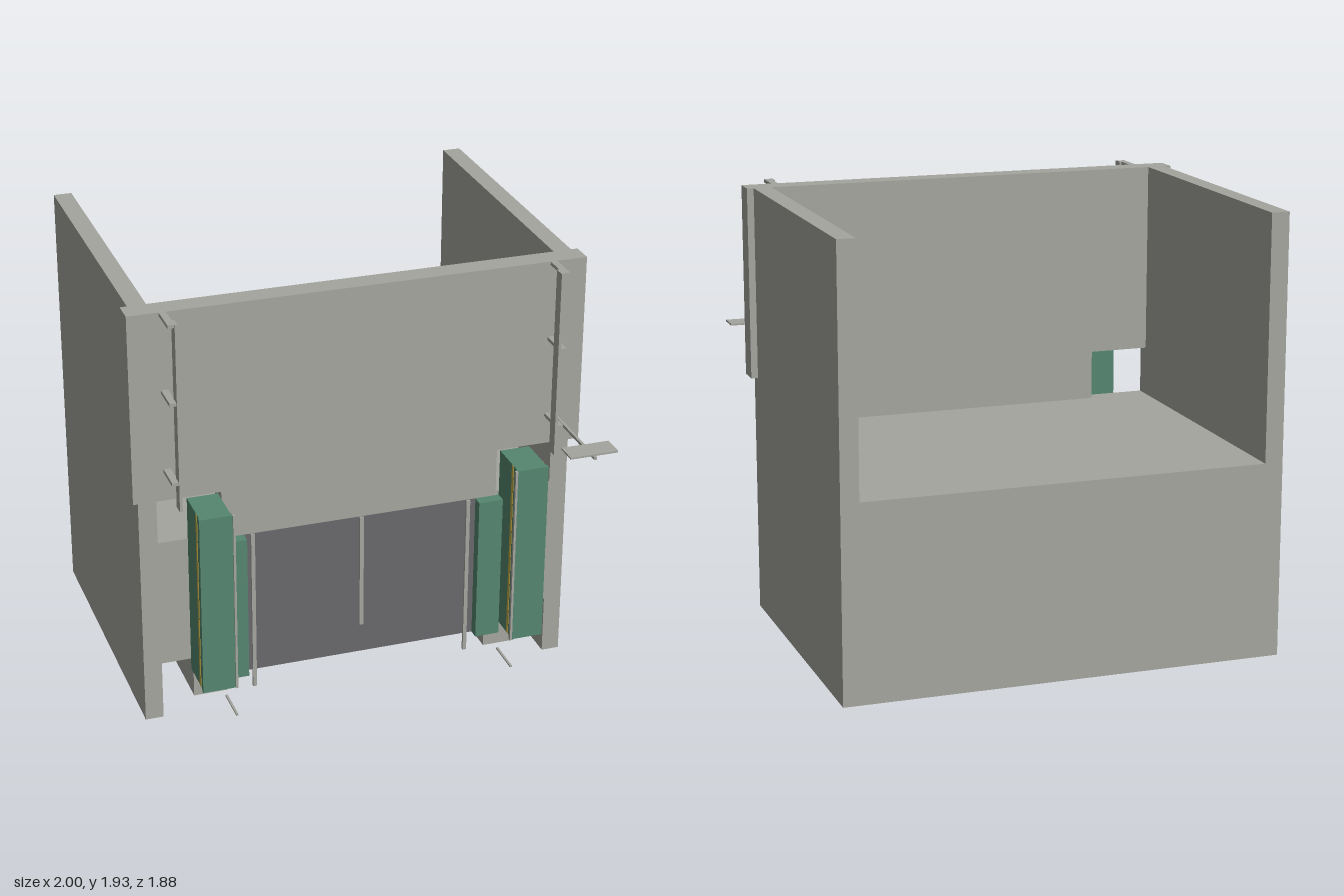
import * as THREE from 'three';

function mat(name, color) {
  const m = new THREE.MeshStandardMaterial({ color });
  m.name = name;
  return m;
}

export function createModel() {
  const model = new THREE.Group();
  model.name = 'loadingDock';
  const concrete = mat('concreteGrey', 0xa5a59f);
  const green = mat('bumperGreen', 0x54866f);
  const dark = mat('doorDarkGrey', 0x68676a);
  const yellow = mat('stripeYellow', 0xc0a844);

  // Box given by its minimum and maximum on each axis
  function box(name, material, x0, x1, y0, y1, z0, z1) {
    const mesh = new THREE.Mesh(new THREE.BoxGeometry(x1 - x0, y1 - y0, z1 - z0), material);
    mesh.position.set((x0 + x1) / 2, (y0 + y1) / 2, (z0 + z1) / 2);
    mesh.name = name;
    model.add(mesh);
  }
  // The same box on both sides of x = 0
  function pair(name, material, x0, x1, ...rest) {
    box(name + 'Left', material, x0, x1, ...rest);
    box(name + 'Right', material, -x1, -x0, ...rest);
  }
  // Side profile of [z, y] points, extruded from x0 to x1
  function profile(name, points, x0, x1) {
    const shape = new THREE.Shape(points.map(([z, y]) => new THREE.Vector2(-z, y)));
    const geo = new THREE.ExtrudeGeometry(shape, { depth: x1 - x0, bevelEnabled: false });
    geo.rotateY(Math.PI / 2);
    geo.translate(x0, 0, 0);
    const mesh = new THREE.Mesh(geo, concrete);
    mesh.name = name;
    model.add(mesh);
  }

  // Floor block with a sloped underside at the front
  profile('floorBlock', [[-0.94, 0], [-0.04, 0], [0.44, 0.27], [0.44, 0.86], [-0.94, 0.86]], -0.89, 0.89);
  for (const x of [-0.75, 0.6]) {
    profile('underBracket', [[0.1, 0.08], [0.44, 0.08], [0.44, 0.27]], x, x + 0.15);
  }

  // Walls
  pair('sideWall', concrete, 0.89, 0.97, 0, 1.93, -0.94, 0.44);
  pair('cornerPanel', concrete, 0.62, 1.0, 1.08, 1.93, 0.38, 0.48);
  box('frontWall', concrete, -0.62, 0.62, 0.86, 1.93, 0.38, 0.48);

  // Door and its rods
  box('doorFrame', concrete, -0.63, 0.63, 0.19, 0.86, 0.44, 0.478);
  box('doorPanel', dark, -0.53, 0.53, 0.19, 0.86, 0.475, 0.483);
  pair('doorRod', concrete, 0.48, 0.497, 0.11, 0.86, 0.483, 0.495);
  box('centreRod', concrete, -0.009, 0.009, 0.33, 0.86, 0.483, 0.495);

  // Bumper pillars beside the door
  pair('innerBumper', green, 0.525, 0.635, 0.19, 0.86, 0.478, 0.53);
  pair('outerBumper', green, 0.635, 0.77, 0.245, 1.075, 0.48, 0.67);
  pair('bumperCap', green, 0.632, 0.775, 0.245, 1.075, 0.67, 0.688);
  pair('bumperStripe', yellow, 0.633, 0.772, 0.247, 1.073, 0.62, 0.64);
  pair('bumperEdge', concrete, 0.622, 0.632, 0.245, 1.075, 0.68, 0.695);
  pair('floorMarker', concrete, 0.625, 0.635, 0.11, 0.117, 0.535, 0.7);

  // Posts on brackets in front of the corner panels
  pair('post', concrete, 0.825, 0.837, 1.09, 1.93, 0.57, 0.622);
  for (const y of [1.915, 1.57, 1.21]) {
    pair('postBracket', concrete, 0.835, 0.865, y, y + 0.015, 0.48, 0.615);
  }

  // Small plate on an arm
  box('plateArm', concrete, 0.867, 0.879, 1.213, 1.226, 0.43, 0.94);
  box('armPlate', concrete, 0.765, 0.98, 1.226, 1.234, 0.83, 0.93);

  return model;
}
